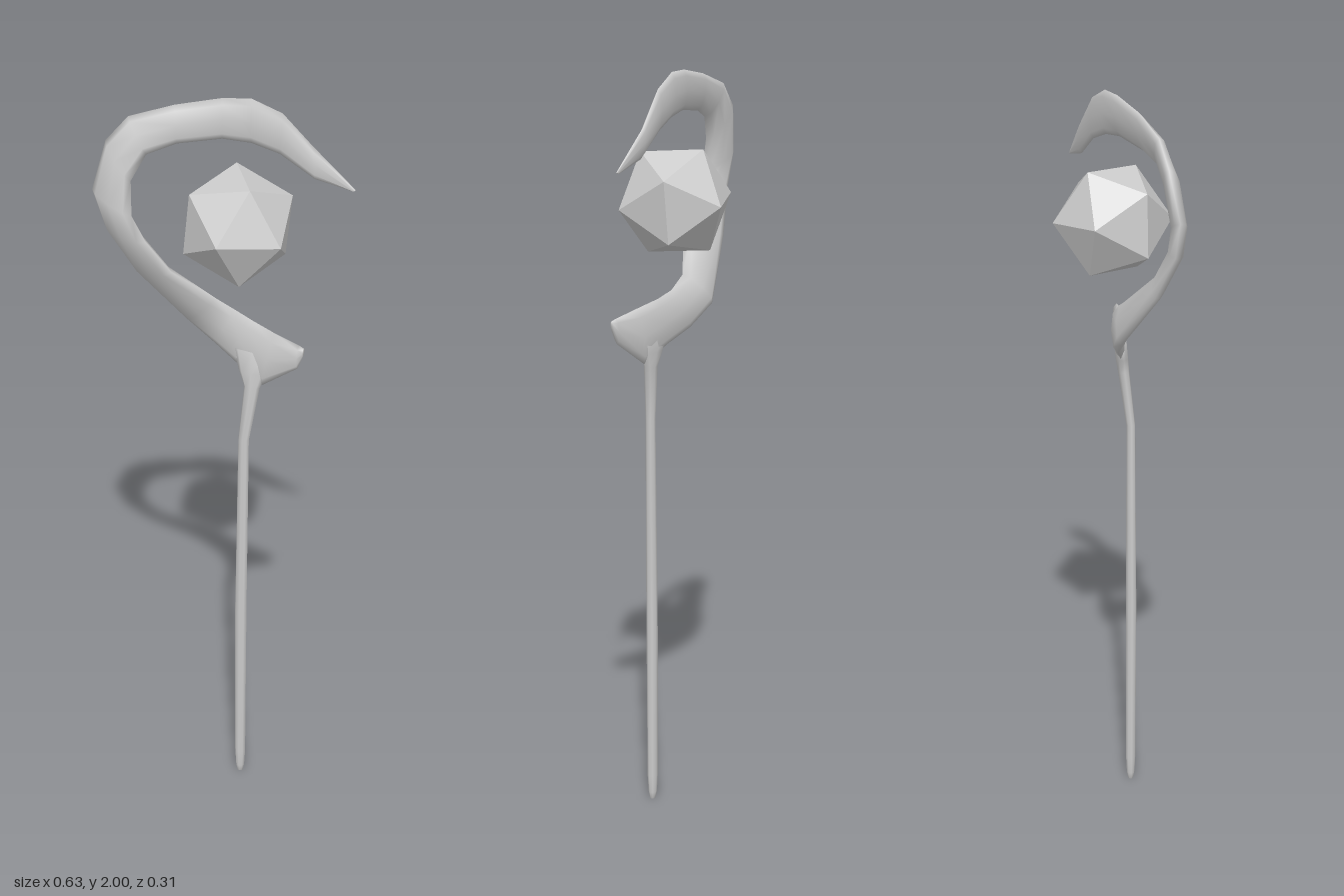
import * as THREE from 'three';
import { ConvexGeometry } from 'three/addons/geometries/ConvexGeometry.js';

const SIDES = 8;

// Skins elliptical rings; each section is [edge A xyz, edge B xyz, thickness].
function loft(sections) {
  const rings = sections.map(([ax, ay, az, bx, by, bz, t]) => {
    const a = new THREE.Vector3(ax, ay, az), b = new THREE.Vector3(bx, by, bz);
    return { centre: a.clone().add(b).multiplyScalar(0.5), half: b.clone().sub(a).multiplyScalar(0.5), t };
  });
  const last = rings.length - 1;
  const pos = [], index = [];
  rings.forEach(({ centre, half, t }, i) => {
    const along = rings[Math.min(i + 1, last)].centre.clone().sub(rings[Math.max(i - 1, 0)].centre);
    const depth = along.cross(half).normalize().multiplyScalar(t / 2);
    for (let j = 0; j < SIDES; j++) {
      const q = (j / SIDES) * Math.PI * 2;
      pos.push(...centre.clone().addScaledVector(half, Math.cos(q)).addScaledVector(depth, Math.sin(q)).toArray());
    }
  });
  const start = pos.length / 3, end = start + 1;
  pos.push(...rings[0].centre.toArray(), ...rings[last].centre.toArray());
  for (let j = 0; j < SIDES; j++) {
    const k = (j + 1) % SIDES;
    for (let i = 0; i < last; i++) {
      const p = i * SIDES, n = p + SIDES;
      index.push(p + j, p + k, n + k, p + j, n + k, n + j);
    }
    index.push(start, k, j, end, last * SIDES + j, last * SIDES + k);
  }
  const g = new THREE.BufferGeometry();
  g.setAttribute('position', new THREE.Float32BufferAttribute(pos, 3));
  g.setIndex(index);
  g.computeVertexNormals();
  return g;
}

// Icosahedron with its poles on the z axis, rings turned by the given angle.
function orbGeometry(r, turn) {
  const pts = [new THREE.Vector3(0, 0, r), new THREE.Vector3(0, 0, -r)];
  const z = r / Math.sqrt(5), ringR = 2 * z;
  for (let i = 0; i < 10; i++) {
    const a = turn + (i * Math.PI) / 5;
    pts.push(new THREE.Vector3(ringR * Math.cos(a), ringR * Math.sin(a), i % 2 ? -z : z));
  }
  return new ConvexGeometry(pts);
}

export function createModel() {
  const group = new THREE.Group();
  const add = (name, geometry, flatShading = false) => {
    const mesh = new THREE.Mesh(geometry, new THREE.MeshStandardMaterial({ color: 0xcccccc, flatShading }));
    mesh.name = name;
    group.add(mesh);
    return mesh;
  };

  // Shaft: [y, centre x, centre z, width, depth]
  const shaft = [
    [0.0, 0.061, 0.057, 0.016, 0.014],
    [0.02, 0.061, 0.057, 0.024, 0.022],
    [0.07, 0.061, 0.057, 0.03, 0.027],
    [0.55, 0.061, 0.057, 0.033, 0.029],
    [1.09, 0.066, 0.055, 0.029, 0.024],
    [1.24, 0.082, 0.038, 0.042, 0.03],
    [1.28, 0.082, 0.033, 0.075, 0.034],
    [1.34, 0.082, 0.028, 0.11, 0.03],
  ].map(([y, x, z, w, d]) => [x - w / 2, y, z, x + w / 2, y, z, d]);
  add('shaft', loft(shaft));

  // Twisting hook, from the free tip round to the short spur above the shaft
  add('hook', loft([
    [0.312, 1.78, -0.065, 0.305, 1.775, -0.065, 0.006],
    [0.205, 1.88, -0.055, 0.21, 1.80, -0.05, 0.018],
    [0.13, 1.965, -0.035, 0.125, 1.86, -0.033, 0.022],
    [0.057, 2.0, -0.015, 0.057, 1.887, -0.013, 0.024],
    [-0.01, 2.0, 0.005, -0.01, 1.897, 0.01, 0.026],
    [-0.123, 1.98, 0.04, -0.113, 1.885, 0.05, 0.03],
    [-0.234, 1.945, 0.066, -0.18, 1.86, 0.085, 0.035],
    [-0.29, 1.88, 0.08, -0.213, 1.795, 0.108, 0.04],
    [-0.32, 1.755, 0.103, -0.208, 1.706, 0.12, 0.04],
    [-0.29, 1.66, 0.098, -0.17, 1.643, 0.123, 0.04],
    [-0.23, 1.54, 0.06, -0.113, 1.56, 0.098, 0.04],
    [-0.113, 1.383, -0.003, -0.023, 1.468, 0.022, 0.04],
    [-0.033, 1.33, 0.003, 0.03, 1.437, 0.012, 0.035],
    [0.035, 1.293, 0.022, 0.075, 1.42, 0.018, 0.034],
    [0.11, 1.25, 0.036, 0.14, 1.402, 0.032, 0.032],
    [0.205, 1.318, 0.042, 0.208, 1.385, 0.042, 0.024],
    [0.22, 1.355, 0.044, 0.222, 1.38, 0.044, 0.012],
  ]));

  // Faceted orb floating inside the hook
  add('orb', orbGeometry(0.155, THREE.MathUtils.degToRad(66)), true).position.set(0.028, 1.67, 0);
  return group;
}
